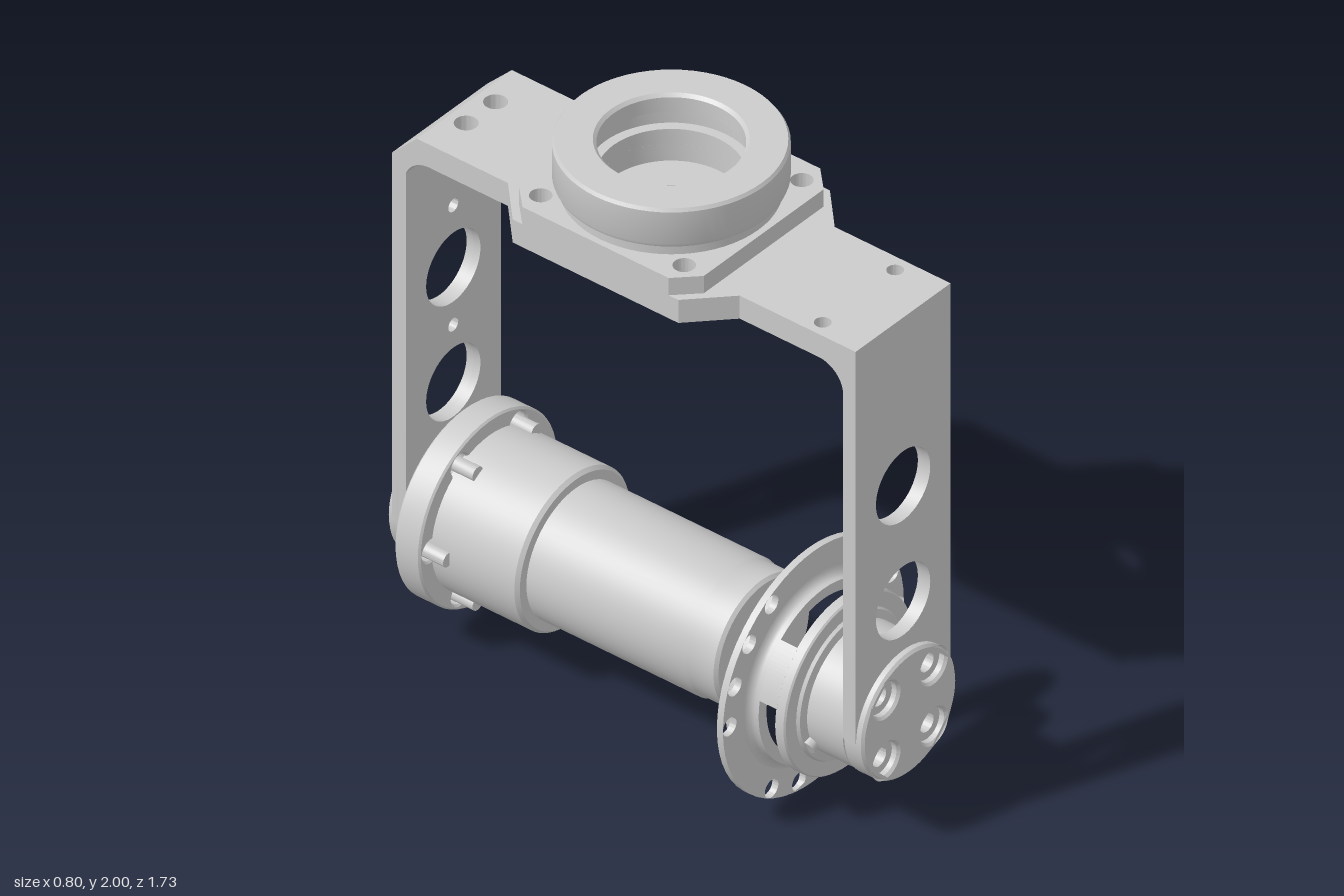
import * as THREE from 'three';
import { toCreasedNormals } from 'three/addons/utils/BufferGeometryUtils.js';

const AXIS_Y = 0.405; // height of the barrel axis
const rad = THREE.MathUtils.degToRad;
const mat = new THREE.MeshStandardMaterial({ color: 0xcccccc });

function add(parent, name, geometry) {
  const mesh = new THREE.Mesh(toCreasedNormals(geometry, 0.55), mat);
  mesh.name = name;
  parent.add(mesh);
  return mesh;
}

// holes: list of [x, y, radius]
function extrude(shape, holes, depth, bevel = 0) {
  for (const [x, y, r] of holes) {
    const p = new THREE.Path();
    p.absarc(x, y, r, 0, Math.PI * 2, true);
    shape.holes.push(p);
  }
  return new THREE.ExtrudeGeometry(shape, {
    depth: depth - 2 * bevel, curveSegments: 28, bevelEnabled: bevel > 0,
    bevelSize: bevel, bevelThickness: bevel, bevelOffset: -bevel, bevelSegments: 1,
  }).translate(0, 0, bevel);
}

const polygon = (pts) => new THREE.Shape(pts.map(([x, y]) => new THREE.Vector2(x, y)));

function circle(r) {
  const s = new THREE.Shape();
  s.absarc(0, 0, r, 0, Math.PI * 2);
  return s;
}

const lathe = (pts) => new THREE.LatheGeometry(pts.map(([r, h]) => new THREE.Vector2(r, h)), 64);
const latheZ = (pts) => lathe(pts).rotateX(Math.PI / 2);

// horizontal plate between two heights; shape is drawn in x and -z
const slab = (shape, holes, y0, y1) =>
  extrude(shape, holes, y1 - y0).rotateX(-Math.PI / 2).translate(0, y0, 0);

// profile in (z, y) swept over the width of the bracket
const sweepX = (shape) => extrude(shape, [], 0.42).rotateY(-Math.PI / 2).translate(0.21, 0, 0);

const ringOfHoles = (angles, dist, r) =>
  angles.map((a) => [Math.cos(rad(a)) * dist, Math.sin(rad(a)) * dist, r]);
const fourCorners = (d, r, cy = 0) =>
  [[1, 1], [-1, 1], [-1, -1], [1, -1]].map(([sx, sy]) => [sx * d, cy + sy * d, r]);

function armGeometry(top, z0, z1, holes) {
  const s = new THREE.Shape();
  s.moveTo(0.21, top);
  s.lineTo(-0.21, top);
  s.lineTo(-0.21, AXIS_Y);
  s.absarc(0, AXIS_Y, 0.205, Math.PI, Math.PI * 2);
  s.lineTo(0.21, AXIS_Y);
  return extrude(s, holes, z1 - z0).translate(0, 0, z0);
}

function buildBracket() {
  const g = new THREE.Group();
  g.name = 'bracket';

  // top plate with a widened middle, in two layers for the counterbored screws
  const outline = () => polygon([
    [0.21, -0.84], [0.21, -0.42], [0.335, -0.3], [0.335, 0.3], [0.21, 0.42], [0.21, 0.75],
    [-0.21, 0.75], [-0.21, 0.42], [-0.335, 0.3], [-0.335, -0.3], [-0.21, -0.42], [-0.21, -0.84],
  ]);
  const small = [[0.16, -0.68, 0.025], [-0.16, -0.68, 0.025], [0.065, 0.69, 0.035], [-0.065, 0.69, 0.035]];
  add(g, 'topPlateLower', slab(outline(), [[0, 0, 0.085], ...small, ...fourCorners(0.25, 0.055)], 1.69, 1.73));
  add(g, 'topPlateUpper', slab(outline(), [[0, 0, 0.095], ...small, ...fourCorners(0.26, 0.033)], 1.73, 1.77));

  // arms
  const big = [[0, 1.185, 0.12], [0, 0.785, 0.12]];
  const screws = fourCorners(0.105, 0.03, AXIS_Y);
  const pins = [[0, 1.645, 0.022], [0, 1.57, 0.022]];
  add(g, 'frontArm', armGeometry(1.69, 0.795, 0.84, [...big, ...screws]));
  const mids = (r) => [[0, 1.4, r], [0, 0.985, r]];
  add(g, 'rearArmInner', armGeometry(1.68, -0.815, -0.79, [...big, ...screws, ...pins, ...mids(0.022)]));
  add(g, 'rearArmOuter', armGeometry(1.68, -0.84, -0.815, [...big, ...screws, ...pins, ...mids(0.045)]));

  // inside fillets and the bevelled rear corner
  for (const turn of [0, Math.PI]) {
    const s = new THREE.Shape();
    s.moveTo(0.8, 1.6);
    s.lineTo(0.8, 1.7);
    s.lineTo(0.705, 1.7);
    s.absarc(0.705, 1.6, 0.09, Math.PI / 2, 0, true);
    add(g, turn ? 'rearFillet' : 'frontFillet', sweepX(s)).rotation.y = turn;
  }
  add(g, 'rearBevel', sweepX(polygon([[-0.75, 1.77], [-0.84, 1.68], [-0.75, 1.68]])));
  return g;
}

function buildTopMount() {
  const g = new THREE.Group();
  g.name = 'topMount';
  const a = 0.335, b = 0.265;
  const flange = polygon([[a, -b], [a, b], [b, a], [-b, a], [-a, b], [-a, -b], [-b, -a], [b, -a]]);
  add(g, 'mountFlange', slab(flange, [[0, 0, 0.21], ...fourCorners(0.26, 0.033)], 1.77, 1.83));
  add(g, 'mountRing', lathe([
    [0.21, 1.82], [0.315, 1.82], [0.315, 1.86], [0.33, 1.868], [0.335, 1.88], [0.335, 1.99], [0.328, 2],
    [0.22, 2], [0.21, 1.99], [0.21, 1.94], [0.24, 1.94], [0.24, 1.88], [0.21, 1.88], [0.21, 1.82],
  ]));
  return g;
}

function endCap(name, z0, z1) {
  return [name, extrude(circle(0.208), fourCorners(0.105, 0.055), z1 - z0, 0.008).translate(0, 0, z0)];
}

function buildFrontHub() {
  const g = new THREE.Group();
  g.name = 'frontHub';
  g.position.y = AXIS_Y;
  add(g, ...endCap('frontCap', 0.79, 0.865));

  // stepped hub with a hollow rear
  add(g, 'hubBody', latheZ([
    [0, 0.71], [0.19, 0.71], [0.19, 0.625], [0.25, 0.625], [0.25, 0.61], [0.285, 0.61], [0.285, 0.64],
    [0.28, 0.645], [0.235, 0.645], [0.23, 0.655], [0.205, 0.66], [0.205, 0.79], [0, 0.79],
  ]));
  add(g, 'hubFloor', extrude(circle(0.19),
    [...fourCorners(0.095, 0.03), ...ringOfHoles([0, 90, 180, 270], 0.06, 0.015)], 0.03).translate(0, 0, 0.68));

  // posts between the three curved windows
  for (const mid of [30, 150, 270]) {
    const s = new THREE.Shape();
    s.absarc(0, 0, 0.285, rad(mid - 19), rad(mid + 19));
    s.absarc(0, 0, 0.25, rad(mid + 19), rad(mid - 19), true);
    add(g, 'windowPost', extrude(s, [], 0.064).translate(0, 0, 0.548));
  }

  // collar and drilled flange
  add(g, 'hubCollar', latheZ([
    [0.3, 0.468], [0.33, 0.468], [0.335, 0.473], [0.335, 0.513], [0.305, 0.515], [0.29, 0.525], [0.285, 0.535],
    [0.285, 0.55], [0.25, 0.55], [0.25, 0.5], [0.3, 0.5], [0.3, 0.468],
  ]));
  const angles = [0, 120, 240].flatMap((a) => [a, a + 20, a + 40, a + 60]);
  add(g, 'hubFlange', extrude(circle(0.4), [[0, 0, 0.31], ...ringOfHoles(angles, 0.37, 0.03)], 0.022)
    .translate(0, 0, 0.493));

  // small radial screws
  for (const a of [-27, 207]) {
    add(g, 'setScrew', new THREE.CylinderGeometry(0.027, 0.027, 0.04, 20).rotateZ(-Math.PI / 2)
      .translate(0.205, 0, 0.655).rotateZ(rad(a)));
  }
  return g;
}

function buildBarrel() {
  const g = new THREE.Group();
  g.name = 'barrel';
  g.position.y = AXIS_Y;
  add(g, 'barrelBody', latheZ([
    [0, -0.67], [0.255, -0.67], [0.255, -0.36], [0.245, -0.348], [0.216, -0.348], [0.216, 0.225], [0.21, 0.235],
    [0.21, 0.325], [0.2, 0.335], [0, 0.335],
  ]));
  const angles = [0, 60, 120, 180, 240, 300];
  add(g, 'barrelFlange', extrude(circle(0.308), ringOfHoles(angles, 0.258, 0.035), 0.092, 0.006)
    .translate(0, 0, -0.752));
  for (const [x, y] of ringOfHoles(angles, 0.26, 0)) {
    add(g, 'flangeScrew', new THREE.CylinderGeometry(0.023, 0.023, 0.13, 20).rotateX(Math.PI / 2)
      .translate(x, y, -0.66));
  }
  add(g, 'rearNeck', latheZ([
    [0, -0.79], [0.19, -0.79], [0.19, -0.775], [0.205, -0.77], [0.205, -0.75], [0, -0.75],
  ]));
  add(g, ...endCap('rearCap', -0.86, -0.785));
  return g;
}

export function createModel() {
  const model = new THREE.Group();
  model.name = 'bracketAssembly';
  model.add(buildBracket(), buildTopMount(), buildFrontHub(), buildBarrel());
  return model;
}
